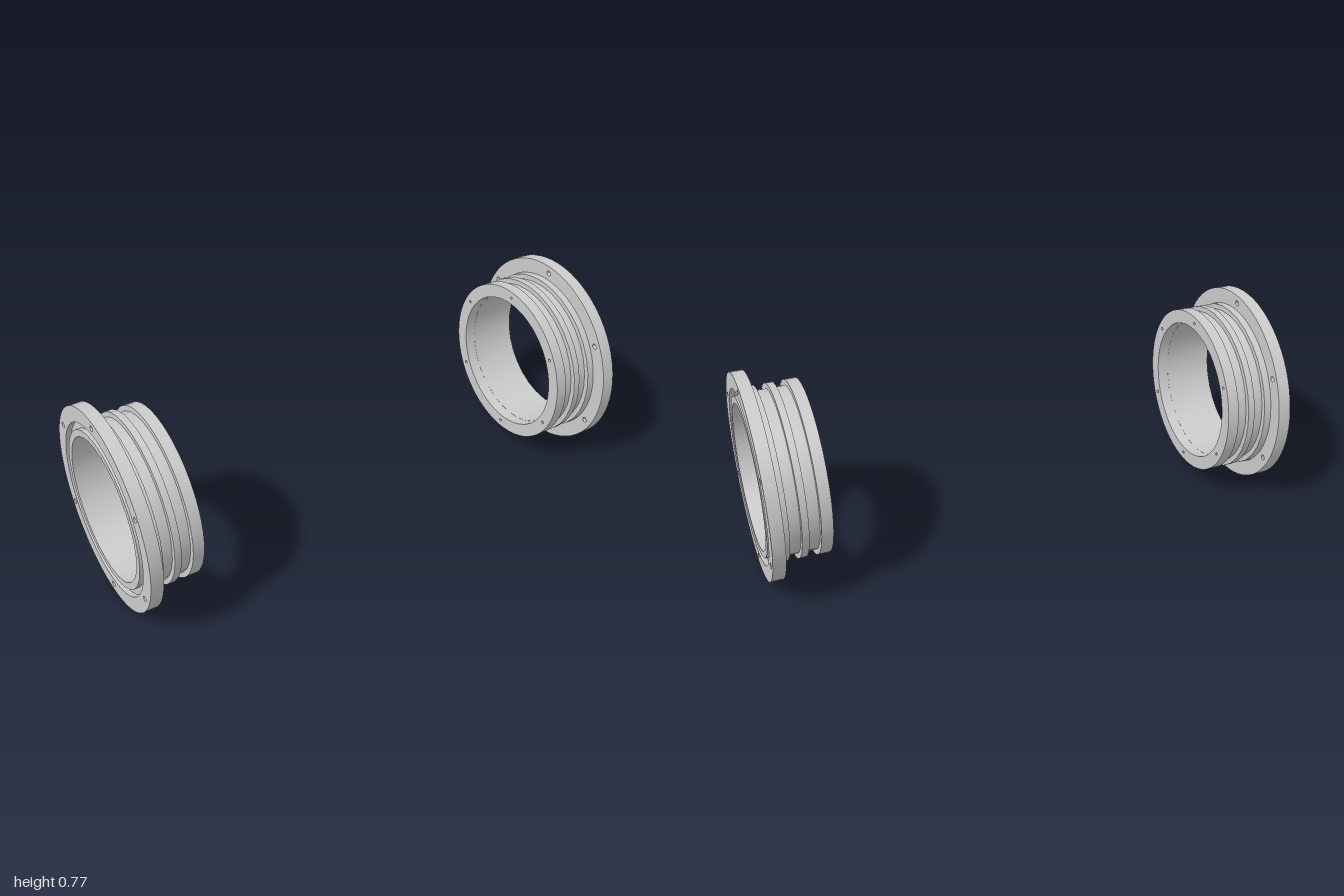
import * as THREE from 'three';
import { toCreasedNormals } from 'three/addons/utils/BufferGeometryUtils.js';

const SIDES = 32;
const CENTER_Y = 0.385;
const BORE = 0.272;
const material = new THREE.MeshStandardMaterial({ color: 0xcccccc });

function addPart(parent, name, geometry) {
  const mesh = new THREE.Mesh(toCreasedNormals(geometry, 0.6), material);
  mesh.name = name;
  parent.add(mesh);
}

// Flat ring along x from x0 to x1 with six bolt holes
function drilledRing(outer, inner, x0, x1, holeCircle, holeRadius) {
  const shape = new THREE.Shape().absarc(0, 0, outer, 0, Math.PI * 2);
  shape.holes.push(new THREE.Path().absarc(0, 0, inner, 0, Math.PI * 2, true));
  for (let i = 0; i < 6; i++) {
    const a = Math.PI / 6 + (i * Math.PI) / 3;
    shape.holes.push(new THREE.Path().absarc(
      Math.cos(a) * holeCircle, Math.sin(a) * holeCircle, holeRadius, 0, Math.PI * 2, true));
  }
  return new THREE.ExtrudeGeometry(shape, { depth: x1 - x0, bevelEnabled: false, curveSegments: SIDES })
    .translate(0, 0, x0)
    .rotateY(Math.PI / 2);
}

function createFitting(name) {
  const fitting = new THREE.Group();
  fitting.name = name;

  // Sleeve with grooves outside and a seal groove in the outer face: [radius, x]
  const profile = [
    [BORE, 0.813], [0.305, 0.813], [0.305, 0.856], [0.325, 0.856], [0.325, 0.882],
    [0.305, 0.882], [0.305, 0.925], [0.325, 0.925], [0.325, 0.98],
    [0.298, 0.98], [0.298, 1], [BORE, 1], [BORE, 0.813],
  ].map(([r, x]) => new THREE.Vector2(r, x));
  addPart(fitting, 'groovedSleeve', new THREE.LatheGeometry(profile, SIDES).rotateZ(-Math.PI / 2));

  // Bolt flange on the outer end
  addPart(fitting, 'boltFlange', drilledRing(0.385, 0.325, 0.952, 1, 0.354, 0.011));

  // Wide end rib with small blind holes
  addPart(fitting, 'endRib', drilledRing(0.325, BORE, 0.77, 0.813, 0.298, 0.006));

  fitting.position.y = CENTER_Y;
  return fitting;
}

export function createModel() {
  const model = new THREE.Group();
  model.name = 'flangedFittings';
  const left = createFitting('leftFitting');
  const right = createFitting('rightFitting');
  right.rotation.y = Math.PI;
  model.add(left, right);
  return model;
}
